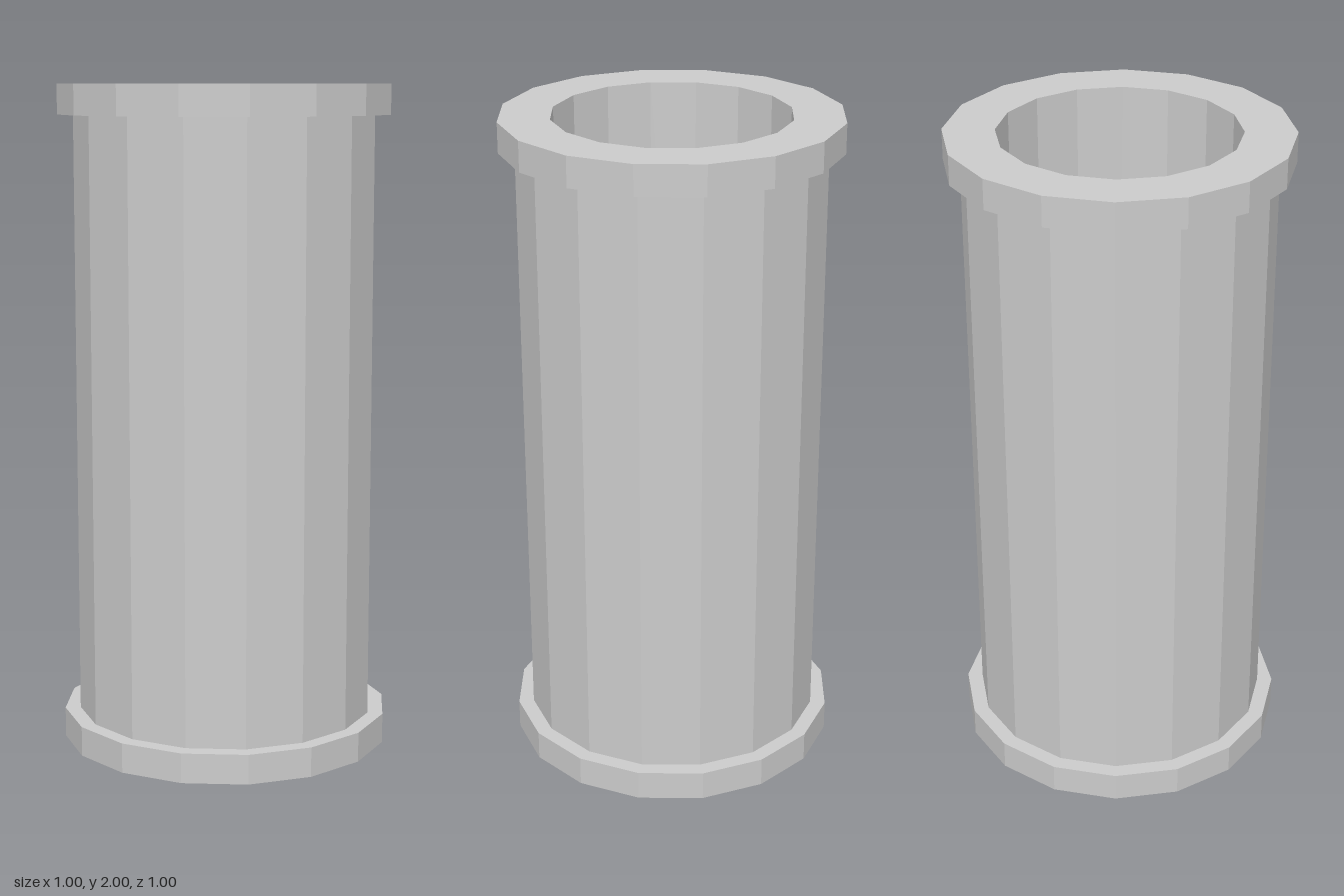
import * as THREE from 'three';

const SIDES = 16;
const HEIGHT = 2;
const RIM_HEIGHT = 0.09;
const RIM_RADIUS = 0.5;
const BODY_RADIUS = 0.453;
const BORE_RADIUS = 0.35;

const material = new THREE.MeshStandardMaterial({ color: 0xcccccc, flatShading: true });

// Faceted surface of revolution from [radius, height] pairs
function lathe(name, profile) {
  const points = profile.map(([r, y]) => new THREE.Vector2(r, y));
  const mesh = new THREE.Mesh(new THREE.LatheGeometry(points, SIDES), material);
  mesh.name = name;
  return mesh;
}

export function createModel() {
  const group = new THREE.Group();
  group.name = 'flangedPipe';
  const low = RIM_HEIGHT;
  const high = HEIGHT - RIM_HEIGHT;

  // Outer wall between the rims
  group.add(lathe('outerWall', [[BODY_RADIUS, low], [BODY_RADIUS, high]]));

  // Bore running the full height, facing inward
  group.add(lathe('bore', [[BORE_RADIUS, HEIGHT], [BORE_RADIUS, 0]]));

  // Rims: outer band, end face and the narrow step to the wall
  group.add(lathe('bottomRim', [
    [BORE_RADIUS, 0], [RIM_RADIUS, 0], [RIM_RADIUS, low], [BODY_RADIUS, low],
  ]));
  group.add(lathe('topRim', [
    [BODY_RADIUS, high], [RIM_RADIUS, high], [RIM_RADIUS, HEIGHT], [BORE_RADIUS, HEIGHT],
  ]));

  return group;
}
